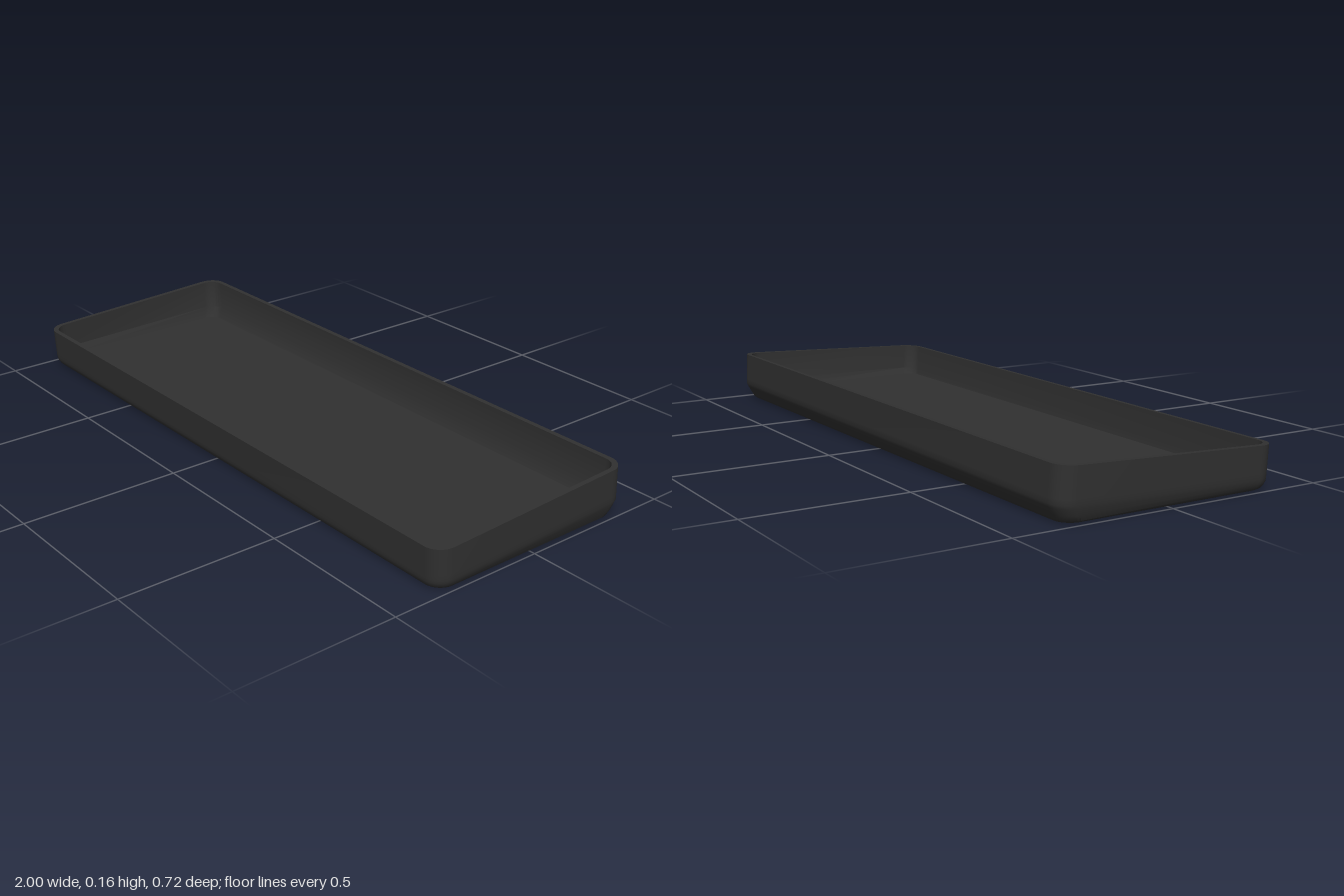
import * as THREE from 'three';
import { toCreasedNormals } from 'three/addons/utils/BufferGeometryUtils.js';

const STEPS = 8; // segments per rounded corner

// Rounded rectangle loop whose height slopes from the front edge to the back edge
function ring([hx, zFront, zBack, yFront, yBack, r]) {
  const points = [];
  const corners = [[1, zFront - r], [-1, zFront - r], [-1, zBack + r], [1, zBack + r]];
  corners.forEach(([side, cz], c) => {
    for (let i = 0; i <= STEPS; i++) {
      const a = (c + i / STEPS) * Math.PI / 2;
      const z = cz + r * Math.sin(a);
      const t = (z - zBack) / (zFront - zBack);
      points.push([side * (hx - r) + r * Math.cos(a), yBack + (yFront - yBack) * t, z]);
    }
  });
  return points;
}

// Skin a sequence of loops, optionally closing the first or last with a flat cap
function loft(sections, capStart, capEnd) {
  const loops = sections.map(ring);
  const n = loops[0].length;
  const vertices = loops.flat();
  const index = [];
  for (let k = 0; k < loops.length - 1; k++) {
    for (let j = 0; j < n; j++) {
      const a = k * n + j, b = k * n + (j + 1) % n;
      index.push(a, a + n, b, b, a + n, b + n);
    }
  }
  const cap = (k, flip) => {
    const s = sections[k];
    const centre = vertices.push([0, (s[3] + s[4]) / 2, (s[1] + s[2]) / 2]) - 1;
    for (let j = 0; j < n; j++) {
      const a = k * n + j, b = k * n + (j + 1) % n;
      if (flip) index.push(centre, b, a);
      else index.push(centre, a, b);
    }
  };
  if (capStart) cap(0, false);
  if (capEnd) cap(loops.length - 1, true);
  const geometry = new THREE.BufferGeometry();
  geometry.setAttribute('position', new THREE.Float32BufferAttribute(vertices.flat(), 3));
  geometry.setIndex(index);
  return toCreasedNormals(geometry, 0.6);
}

export function createModel() {
  const group = new THREE.Group();
  group.name = 'tray';
  const material = new THREE.MeshStandardMaterial({ color: 0x303030 });

  const add = (name, geometry) => {
    const mesh = new THREE.Mesh(geometry, material);
    mesh.name = name;
    group.add(mesh);
  };

  // Each section: half width, front z, back z, front y, back y, corner radius
  const outerTop = [1, 0.36, -0.355, 0.128, 0.158, 0.055];
  const innerTop = [0.984, 0.345, -0.34, 0.129, 0.157, 0.045];

  // Outside: flat base, rounded lower edge, chamfered back, leaning walls
  add('outerShell', loft([
    [0.968, 0.33, -0.325, 0, 0, 0.045],
    [0.979, 0.338, -0.331, 0.002, 0.002, 0.048],
    [0.988, 0.345, -0.336, 0.007, 0.008, 0.05],
    [0.994, 0.35, -0.345, 0.015, 0.024, 0.052],
    [0.998, 0.353, -0.356, 0.024, 0.044, 0.054],
    [1, 0.354, -0.36, 0.034, 0.054, 0.055],
    [1, 0.355, -0.359, 0.05, 0.07, 0.055],
    outerTop,
  ], true, false));

  // Thin sloping top edge
  add('rim', loft([outerTop, innerTop], false, false));

  // Inside walls with a sloped strip around the floor
  add('innerWall', loft([
    innerTop,
    [0.981, 0.339, -0.342, 0.045, 0.06, 0.045],
    [0.965, 0.333, -0.323, 0.025, 0.025, 0.04],
  ], false, false));

  // Flat floor
  add('floor', loft([[0.965, 0.333, -0.323, 0.025, 0.025, 0.04]], false, true));

  return group;
}
